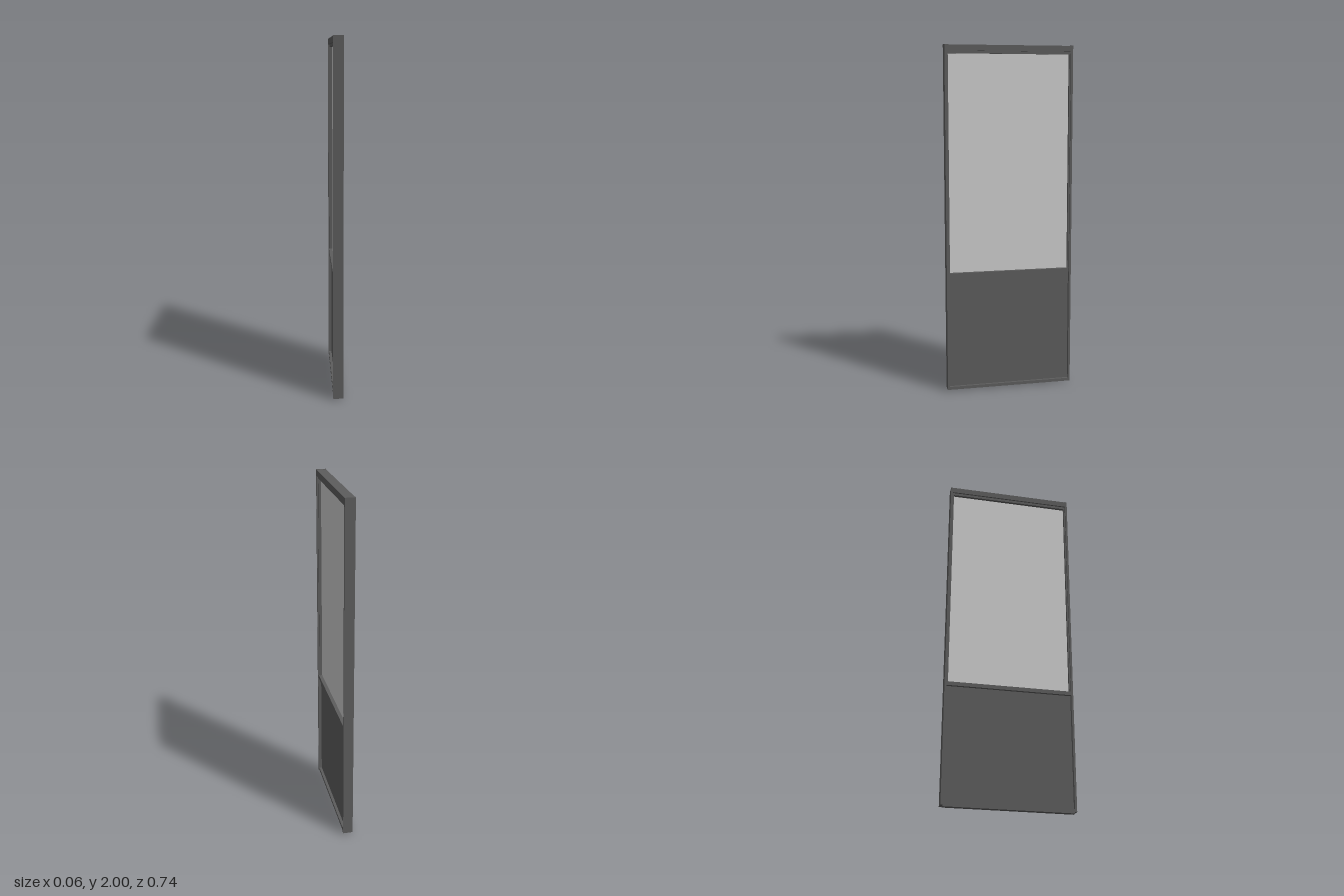
import * as THREE from 'three';

export function createModel() {
  const model = new THREE.Group();
  const dark = new THREE.MeshStandardMaterial({ color: 0x5c5c5c });
  const pane = new THREE.MeshStandardMaterial({ color: 0xcccccc });

  const D = 0.057;   // frame depth along x
  const W = 0.372;   // half width along z
  const IN = 0.36;   // inner face of the jambs
  const MID = 0.704; // sill of the glazed opening

  // Box spanning y0..y1 and z0..z1, with depth along x
  function bar(name, depth, y0, y1, z0, z1, material = dark, x = 0) {
    const mesh = new THREE.Mesh(new THREE.BoxGeometry(depth, y1 - y0, z1 - z0), material);
    mesh.position.set(x, (y0 + y1) / 2, (z0 + z1) / 2);
    mesh.name = name;
    model.add(mesh);
  }

  // Side posts with thinner glazing beads
  for (const s of [-1, 1]) {
    const span = (a, b) => (s > 0 ? [a, b] : [-b, -a]);
    bar('sidePost', D, 0.008, 2, ...span(IN, W));
    bar('glazingBead', 0.04, MID, 1.95, ...span(0.352, IN));
  }

  // Cross rails
  bar('topRail', D, 1.965, 1.998, -IN, IN);
  bar('topBead', 0.04, 1.95, 1.965, -IN, IN);
  bar('middleRail', 0.05, 0.682, MID, -IN, IN);
  bar('bottomRail', 0.05, 0.008, 0.025, -IN, IN);

  // Infill: glass above, solid panel below
  bar('glassPane', 0.008, MID, 1.95, -0.352, 0.352, pane);
  bar('lowerPanel', 0.018, 0.025, 0.682, -IN, IN);

  // Seal strip under the leaf
  bar('bottomSeal', 0.03, 0, 0.008, -IN, IN, dark, -0.011);

  return model;
}
